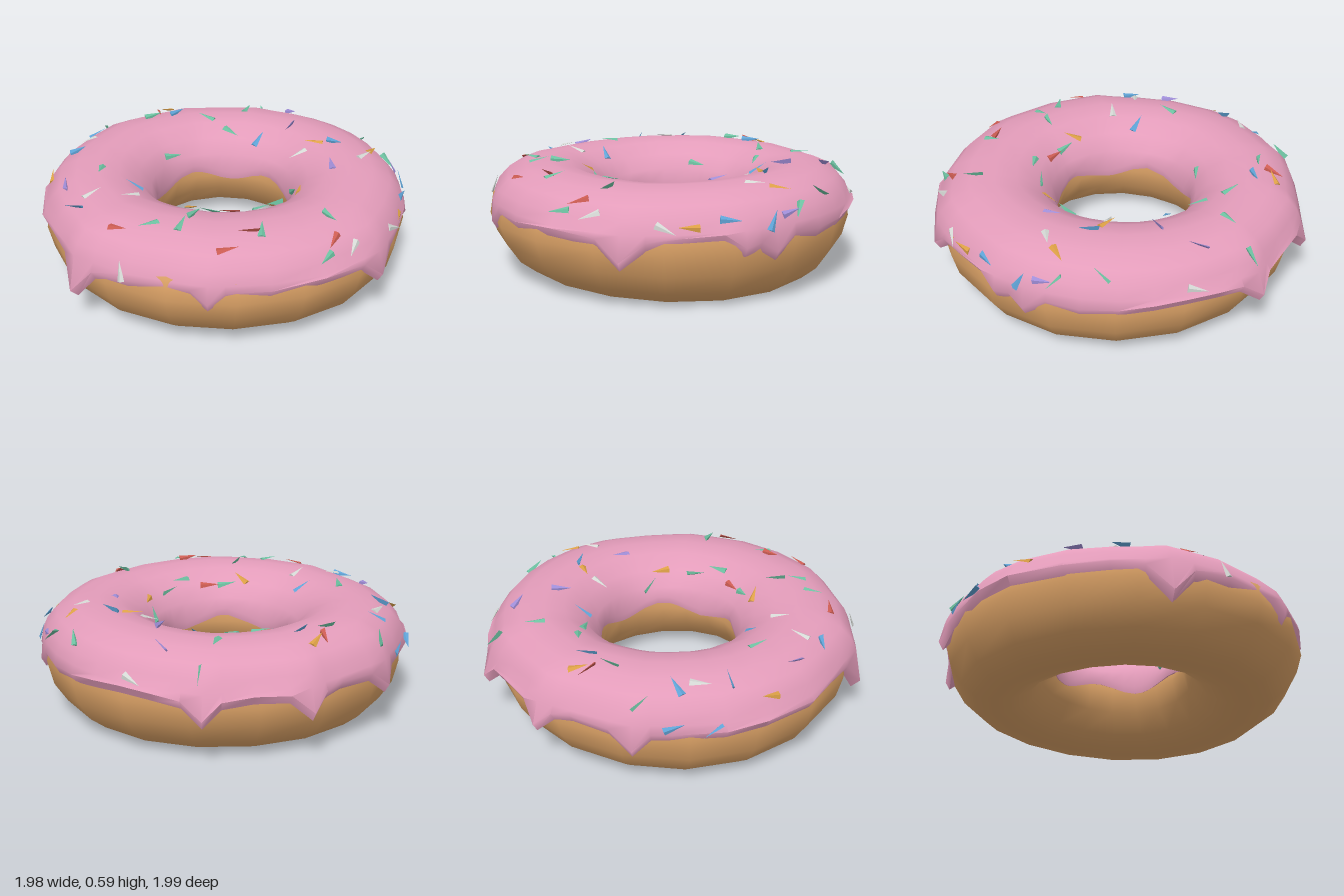
import * as THREE from 'three';
import { toCreasedNormals } from 'three/addons/utils/BufferGeometryUtils.js';

const mat = (name, color) => Object.assign(new THREE.MeshStandardMaterial({ color }), { name });
const RAD = Math.PI / 180;

// Skin a ring: sections[i] is a list of points at one angle round the hole.
function ringSkin(sections, closedProfile) {
  const n = sections.length, m = sections[0].length, index = [];
  for (let i = 0; i < n; i++) {
    for (let j = 0; j < (closedProfile ? m : m - 1); j++) {
      const i2 = (i + 1) % n, j2 = (j + 1) % m;
      const a = i * m + j, b = i * m + j2, c = i2 * m + j2, d = i2 * m + j;
      index.push(a, b, d, b, c, d);
    }
  }
  const geo = new THREE.BufferGeometry().setFromPoints(sections.flat());
  geo.setIndex(index);
  geo.computeVertexNormals();
  return geo;
}

// s runs from 0 at the hole to 1 at the rim; the hole sits slightly off centre.
function ringPoint(a, s, inner, outer, y) {
  const r = inner + (outer - inner) * s;
  return new THREE.Vector3(Math.cos(a) * r + 0.02 * (1 - s), y, Math.sin(a) * r - 0.03 * (1 - s));
}

// Plump dough with a flattened base: [s, y]
const doughProfile = [
  [1, 0.3], [0.97, 0.41], [0.84, 0.47], [0.5, 0.52], [0.18, 0.46], [0.05, 0.39], [0, 0.29],
  [0.05, 0.18], [0.19, 0.075], [0.36, 0.03], [0.52, 0.018], [0.7, 0.025], [0.84, 0.09], [0.95, 0.19],
];
function doughGeometry() {
  const sections = [];
  for (let i = 0; i < 18; i++) {
    const a = (i / 18) * Math.PI * 2;
    const wobble = 0.014 * Math.sin(2 * a + 2.9);
    sections.push(doughProfile.map(([s, y]) =>
      ringPoint(a, s, 0.372, 0.955, Math.max(0, y + (y < 0.2 ? wobble : 0)))));
  }
  return ringSkin(sections, true);
}

// Lip of the icing: [angle, radius, height]; low heights are drips.
const lip = [
  [0, 0.98, 0.34], [9, 0.975, 0.33], [19, 0.97, 0.31], [30, 0.965, 0.3], [40, 0.96, 0.31],
  [47, 0.97, 0.235], [52, 0.96, 0.29], [57, 0.97, 0.27], [63, 0.955, 0.34], [75, 0.95, 0.33],
  [85, 0.965, 0.31], [92, 0.995, 0.22], [99, 0.97, 0.32], [114, 0.97, 0.34], [130, 0.955, 0.32],
  [143, 0.95, 0.32], [148, 0.965, 0.26], [153, 0.95, 0.33], [172, 0.96, 0.32], [184, 0.975, 0.3],
  [191, 1.02, 0.16], [198, 0.965, 0.31], [208, 0.955, 0.33], [221, 0.975, 0.32], [238, 0.985, 0.33],
  [250, 0.985, 0.32], [265, 0.965, 0.31], [271, 0.97, 0.31], [276, 1.0, 0.23], [283, 0.975, 0.32],
  [295, 0.965, 0.33], [301, 0.98, 0.31], [306, 1.02, 0.23], [312, 0.985, 0.32], [322, 0.98, 0.33],
  [331, 0.99, 0.31], [336, 1.03, 0.23], [342, 0.99, 0.31], [350, 0.985, 0.33],
];
const icingProfile = [
  [0.98, 0.395], [0.94, 0.45], [0.85, 0.51], [0.7, 0.55], [0.5, 0.567],
  [0.32, 0.55], [0.15, 0.495], [0.045, 0.42],
];
function icingGeometry() {
  const sections = lip.map(([deg, r, edge]) => {
    const a = deg * RAD, body = 0.965 + (r - 0.965) * 0.55;
    const innerEdge = 0.3 + 0.03 * Math.sin(5 * a + 1);
    const p = (s, y, outer = body) => ringPoint(a, s, 0.36, outer, y);
    return [
      p(0.93, edge + 0.04), p(1, edge, r - 0.025 - 0.3 * Math.max(0, 0.23 - edge)), p(1, edge + 0.045, r),
      ...icingProfile.map(([s, y]) => p(s, y + 0.006 * Math.sin(3 * a))),
      p(0, innerEdge + 0.04), p(0.01, innerEdge), p(0.05, innerEdge + 0.01),
    ];
  });
  return toCreasedNormals(ringSkin(sections, false), 1.1);
}

// Sprinkles by colour: [x, z, heading in degrees seen from above, 1 if standing on edge]
const sprinkles = {
  green: [
    [0.43, -0.46, 100], [0.43, -0.28, 80], [0.08, -0.43, -30], [-0.74, 0.1, -25], [-0.22, 0.4, -25],
    [-0.35, 0.85, 10], [0.67, -0.34, 15], [-0.46, -0.47, 30], [-0.65, 0.23, 15], [-0.37, 0.18, -50],
    [-0.46, 0.56, 35], [0.16, 0.34, 80, 1], [0.24, -0.7, -25, 1], [0.07, -0.91, 60, 1],
    [0.73, 0.57, -55, 1], [-0.15, 0.74, 70, 1], [-0.54, 0.22, 5, 1], [-0.1, 0.4, 0, 1],
    [0.87, -0.37, 15, 1], [0.81, 0.36, 15, 1],
  ],
  blue: [
    [-0.09, -0.83, -55], [-0.09, -0.95, 65], [0.47, -0.11, 0], [-0.43, -0.27, -50], [0.45, 0.81, 5],
    [0.63, 0.7, -65], [-0.27, -0.93, 60, 1], [-0.77, -0.36, -75, 1], [0.36, -0.62, -5, 1],
    [0.55, 0.34, 85, 1], [-0.33, -0.75, -65, 1],
  ],
  purple: [
    [0.34, 0.45, 40], [-0.83, -0.52, 65], [0.7, 0.61, 70], [0.6, 0.01, 10, 1], [-0.63, -0.55, 40, 1],
    [0.8, -0.12, 60, 1],
  ],
  red: [
    [-0.82, -0.02, -80], [-0.31, 0.26, -55], [-0.66, 0.51, -40], [-0.26, 0.83, 25],
    [0.34, -0.74, 45, 1], [-0.51, 0.52, -40, 1],
  ],
  orange: [
    [-0.52, -0.76, 20], [0.51, 0.23, -65], [0.64, 0.52, 5], [-0.43, 0.12, 65], [0.11, 0.41, 25],
    [0.38, -0.72, 5], [0.43, -0.87, -15], [0.27, 0.89, 15],
  ],
  white: [
    [-0.66, -0.34, -20], [-0.57, -0.17, -15], [0.53, 0.54, -10], [-0.19, 0.9, 30], [0.95, -0.06, 50],
    [0.42, 0.19, -30], [-0.94, 0.1, 10], [-0.2, -0.8, -5], [0.17, 0.92, -40],
  ],
};
const sprinkleColors = {
  green: 0x6cc0a0, blue: 0x5fa3d6, purple: 0xa08ed8, red: 0xcc5c52, orange: 0xdca046, white: 0xd4d8d4,
};

export function createModel() {
  const model = new THREE.Group();
  model.name = 'icedRingCake';

  const dough = new THREE.Mesh(doughGeometry(), mat('golden dough', 0xd9a065));
  dough.name = 'dough';
  const icing = new THREE.Mesh(icingGeometry(), mat('pink icing', 0xe39cba));
  icing.name = 'icing';
  icing.material.side = THREE.DoubleSide;
  model.add(dough, icing);

  // Each sprinkle is a thin three-sided sliver dropped on the icing and tipped slightly up.
  const sliver = toCreasedNormals(new THREE.ConeGeometry(0.023, 0.105, 3).scale(1, 1, 0.3), 0.1);
  const ray = new THREE.Raycaster();
  const down = new THREE.Vector3(0, -1, 0);
  const group = new THREE.Group();
  group.name = 'sprinkles';
  for (const [color, list] of Object.entries(sprinkles)) {
    const material = mat(color + ' sprinkle', sprinkleColors[color]);
    list.forEach(([x, z, deg, onEdge = 0], i) => {
      ray.set(new THREE.Vector3(x, 2, z), down);
      const hit = ray.intersectObject(icing)[0];
      if (!hit) return;
      const normal = hit.face.normal;
      const heading = (deg + (i % 2) * 180) * RAD;
      const along = new THREE.Vector3(Math.cos(heading), 0, -Math.sin(heading));
      along.projectOnPlane(normal).normalize().addScaledVector(normal, 0.12).normalize();
      const side = new THREE.Vector3().crossVectors(along, normal).normalize();
      const up = new THREE.Vector3().crossVectors(side, along);
      const sprinkle = new THREE.Mesh(sliver, material);
      sprinkle.name = color + 'Sprinkle';
      sprinkle.quaternion.setFromRotationMatrix(new THREE.Matrix4().makeBasis(side, along, up));
      sprinkle.rotateY(onEdge * 1.2);
      sprinkle.position.copy(hit.point).addScaledVector(normal, 0.014);
      group.add(sprinkle);
    });
  }
  model.add(group);
  return model;
}
